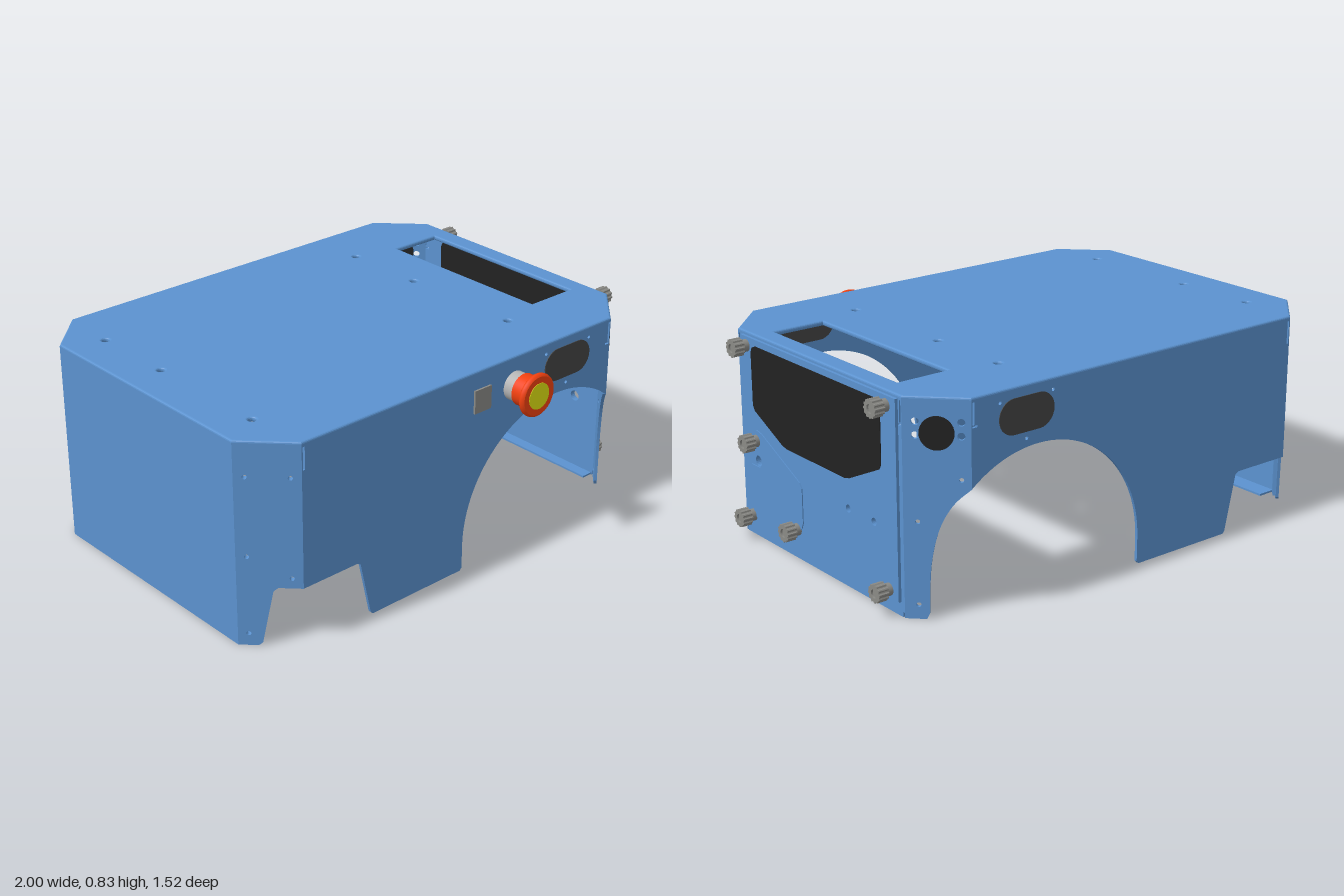
import * as THREE from 'three';

const T = 0.012;       // sheet thickness
const TOP = 0.818;     // top of the walls, just under the cover's rounded edge
const W = 0.695, C = 0.525, R2 = Math.SQRT2; // half width, half width inside the corners
const mat = (color) => new THREE.MeshStandardMaterial({ color, side: THREE.DoubleSide });
const blue = mat(0x5b92cf), black = mat(0x222222), charcoal = mat(0x444444);
const steel = mat(0x8a8a86), silver = mat(0xb4b4b4), red = mat(0xf0400f), yellow = mat(0xdfe012);

const rect = (x0, y0, x1, y1) => [[x0, y0], [x1, y0], [x1, y1], [x0, y1]];
const arc = (cx, cy, r, a0, a1, n) => Array.from({ length: n + 1 }, (_, i) => {
  const a = a0 + (a1 - a0) * i / n;
  return [cx + r * Math.cos(a), cy + r * Math.sin(a)];
});
const circle = (x, y, r, n = 20) => arc(x, y, r, 0, Math.PI * 2 * (1 - 1 / n), n - 1);
const capsule = (x, y, half, r) => [
  ...arc(x + half, y, r, -Math.PI / 2, Math.PI / 2, 14),
  ...arc(x - half, y, r, Math.PI / 2, Math.PI * 1.5, 14)];

function makeShape(pts, holes = [], flip = 1) {
  const v = (list) => list.map(([x, y]) => new THREE.Vector2(x * flip, y));
  const shape = new THREE.Shape(v(pts));
  holes.forEach((h) => shape.holes.push(new THREE.Path(v(h))));
  return shape;
}

export function createModel() {
  const model = new THREE.Group();
  const body = new THREE.Group();
  body.name = 'enclosure';
  body.position.z = -0.065;
  model.add(body);

  // Upright sheet: outline in (distance along wall, height), outer face turned by angle.
  // side = -1 gives the mirrored sheet at the back.
  function panel(name, pts, { holes = [], at = [0, 0], angle = 0, side = 1, out = 0, depth = T, material = blue }) {
    const geo = new THREE.ExtrudeGeometry(makeShape(pts, holes, side), { depth, bevelEnabled: false });
    geo.translate(0, 0, out - depth);
    const mesh = new THREE.Mesh(geo, material);
    mesh.name = name;
    mesh.position.set(at[0], 0, at[1] * side);
    mesh.rotation.y = side > 0 ? angle : Math.PI - angle;
    body.add(mesh);
    return mesh;
  }

  // Top cover with window and fixing holes
  const coverHoles = [rect(0.62, -0.395, 0.84, 0.395)];
  for (const x of [-0.845, 0.43]) for (const w of [-0.445, -0.09, 0.445]) coverHoles.push(circle(x, -w, 0.015));
  const outline = [[-1, -C], [-0.83, -W], [0.75, -W], [0.92, -C], [0.92, C], [0.75, W], [-0.83, W], [-1, C]];
  const coverGeo = new THREE.ExtrudeGeometry(makeShape(outline, coverHoles), {
    depth: 0.004, bevelSize: 0.008, bevelThickness: 0.008, bevelOffset: -0.008, bevelSegments: 3 });
  coverGeo.rotateX(-Math.PI / 2);
  coverGeo.translate(0, 0.818, 0);
  const cover = new THREE.Mesh(coverGeo, blue);
  cover.name = 'topCover';
  body.add(cover);

  // Long walls and cut corners, front and back
  const arch = arc(0.45, 0.11, 0.49, Math.PI, Math.acos(0.3 / 0.49), 40);
  const wallOutline = [[-0.83, 0.245], [-0.575, 0.245], [-0.56, 0.235], [-0.51, 0.01], [-0.5, 0],
    [-0.05, 0], [-0.04, 0.01], ...arch, [0.75, TOP], [-0.83, TOP]];
  const oval = capsule(0.505, 0.722, 0.058, 0.067);
  const wallHoles = [circle(0.385, 0.785, 0.007, 10), circle(0.625, 0.785, 0.007, 10), circle(0.505, 0.63, 0.007, 10),
    rect(-0.825, 0.72, -0.816, 0.81), rect(0.737, 0.73, 0.745, 0.812), rect(0.725, 0.72, 0.745, 0.728)];
  const curve = new THREE.SplineCurve([[0, 0.497], [0.065, 0.435], [0.115, 0.34], [0.145, 0.2], [0.152, 0.02]]
    .map((p) => new THREE.Vector2(...p))).getPoints(20).map((p) => [p.x, p.y]);
  const L = 0.17 * R2;
  const vent = circle(0.12, 0.7, 0.062, 32);

  for (const side of [1, -1]) {
    const label = side > 0 ? 'front' : 'back';
    panel(label + 'Wall', wallOutline, { holes: wallHoles, at: [0, W], side });
    panel(label + 'OvalCover', oval, { at: [0, W], side, out: 0.003, depth: 0.018, material: charcoal });

    const rightCorner = { at: [0.75, W], angle: Math.PI / 4, side };
    panel(label + 'ArchCorner', [...curve, [0.162, 0], [L, 0], [L, TOP], [0, TOP]], {
      ...rightCorner,
      holes: [[0.035, 0.74], [0.035, 0.69], [0.195, 0.74], [0.195, 0.69], [0.035, 0.53], [0.19, 0.37], [0.19, 0.055]]
        .map(([u, y], i) => circle(u, y, i < 4 ? 0.014 : 0.009, 14)) });
    panel(label + 'RoundCover', vent, { ...rightCorner, out: 0.006, depth: 0.022, material: black });

    const leftCorner = { at: [-1, C], angle: -Math.PI / 4, side };
    const pins = [[0.04, 0.69], [0.04, 0.37], [0.04, 0.05], [0.2, 0.69], [0.2, 0.285]].map(([u, y]) => circle(u, y, 0.009, 14));
    panel(label + 'PlainCorner', [[0, 0], [0.075, 0], [0.09, 0.012], [0.132, 0.23], [0.15, 0.245], [L, 0.245], [L, TOP], [0, TOP]],
      { ...leftCorner, holes: pins });
    // Overlapping joint strips behind the corner
    panel(label + 'JointStripOuter', rect(0.012, 0.012, 0.075, 0.74), { ...leftCorner, out: -T, holes: pins.slice(0, 3) });
    panel(label + 'JointStripInner', rect(0.165, 0.25, 0.228, 0.74), { ...leftCorner, out: -T, holes: pins.slice(3) });
  }

  // End walls with inward bottom flanges
  panel('plainEndWall', rect(-C, 0, C, TOP), { at: [-1, 0], angle: -Math.PI / 2 });
  for (const [name, x, width] of [['plainEndFlange', -1, 0.09], ['doorEndFlange', 0.86, 0.06]]) {
    const flange = new THREE.Mesh(new THREE.BoxGeometry(width, 0.008, 2 * C - 0.03), blue);
    flange.name = name;
    flange.position.set(x + width / 2, 0.004, 0);
    body.add(flange);
  }

  // Door end: wall, door, dark screen, small hatch
  const end = { at: [0.92, 0], angle: Math.PI / 2 };
  const doorHoles = [circle(0.205, 0.32, 0.015), circle(0.365, 0.32, 0.015), circle(-0.395, 0.328, 0.022)];
  const slots = [];
  for (const s of [-1, 1]) {
    slots.push(rect(s * 0.512, 0.73, s * 0.52, 0.812), rect(s * 0.498, 0.718, s * 0.52, 0.726));
  }
  panel('doorEndWall', [[-C, 0.02], [-0.515, 0.02], [-0.515, 0], [0.515, 0], [0.515, 0.02], [C, 0.02], [C, TOP], [-C, TOP]],
    { ...end, holes: [...doorHoles, ...slots] });
  panel('door', rect(-0.49, 0.055, 0.505, 0.815), { ...end, out: T, holes: doorHoles });
  panel('doorScreen', [[-0.19, 0.435], [0.19, 0.435], [0.22, 0.442], [0.405, 0.53], [0.417, 0.55], [0.417, 0.76], [0.408, 0.781],
    [0.387, 0.79], [-0.387, 0.79], [-0.408, 0.781], [-0.417, 0.76], [-0.417, 0.55], [-0.405, 0.53], [-0.22, 0.442]],
  { ...end, out: T + 0.003, depth: 0.032, material: black });
  panel('hatch', [[-0.42, 0.085], [-0.185, 0.085], [-0.16, 0.092], [-0.105, 0.14], [-0.095, 0.165], [-0.095, 0.305],
    [-0.11, 0.325], [-0.365, 0.447], [-0.4, 0.453], [-0.43, 0.435], [-0.442, 0.405], [-0.442, 0.352],
    ...arc(-0.393, 0.328, 0.024, Math.PI / 2, -Math.PI / 2, 10), [-0.442, 0.304], [-0.442, 0.1]],
  { ...end, out: T + 0.004, depth: 0.004 });

  // Thumb screws: collar, neck and ribbed head turned along x
  const ribs = [];
  for (let i = 0; i < 48; i++) {
    const a = i / 48 * Math.PI * 2, r = i % 4 < 2 ? 0.036 : 0.032;
    ribs.push([r * Math.cos(a), r * Math.sin(a)]);
  }
  const headGeo = new THREE.ExtrudeGeometry(makeShape(ribs, [circle(0, 0, 0.017)]), { depth: 0.042, bevelEnabled: false });
  headGeo.rotateY(Math.PI / 2);
  const neckGeo = new THREE.CylinderGeometry(0.024, 0.024, 0.062, 24);
  neckGeo.rotateZ(-Math.PI / 2);
  for (const [w, y] of [[0.45, 0.78], [-0.45, 0.78], [0.45, 0.09], [-0.45, 0.09], [0.4, 0.41], [0.135, 0.13]]) {
    const screw = new THREE.Group();
    screw.name = 'thumbScrew';
    const head = new THREE.Mesh(headGeo, steel);
    head.name = 'ribbedHead';
    head.position.x = 0.958;
    const neck = new THREE.Mesh(neckGeo, steel);
    neck.name = 'neck';
    neck.position.x = 0.961;
    screw.add(head, neck);
    screw.position.set(0, y, w);
    body.add(screw);
  }

  // Grey plate beside the stop button
  panel('greyPlate', rect(0, 0.66, 0.085, 0.755), { at: [0, W], out: 0.008, depth: 0.024, material: steel });

  // Stop button, turned about z
  const button = new THREE.Group();
  button.name = 'stopButton';
  button.position.set(0.215, 0.71, W);
  const turn = (name, profile, material) => {
    const geo = new THREE.LatheGeometry(profile.map(([r, z]) => new THREE.Vector2(r, z)), 40);
    geo.rotateX(Math.PI / 2);
    const mesh = new THREE.Mesh(geo, material);
    mesh.name = name;
    button.add(mesh);
  };
  turn('buttonBase', [[0, -0.02], [0.058, -0.02], [0.058, -0.02], [0.058, 0.05]], silver);
  turn('buttonBody', [[0.05, 0.046], [0.064, 0.046], [0.064, 0.046], [0.064, 0.103]], red);
  turn('buttonCap', [[0.06, 0.102], [0.08, 0.102], [0.086, 0.107], [0.087, 0.115], [0.085, 0.122], [0.078, 0.127],
    [0.078, 0.127], [0.05, 0.127]], red);
  turn('buttonFace', [[0.053, 0.126], [0.053, 0.129], [0.053, 0.129], [0, 0.129]], yellow);
  body.add(button);

  return model;
}
